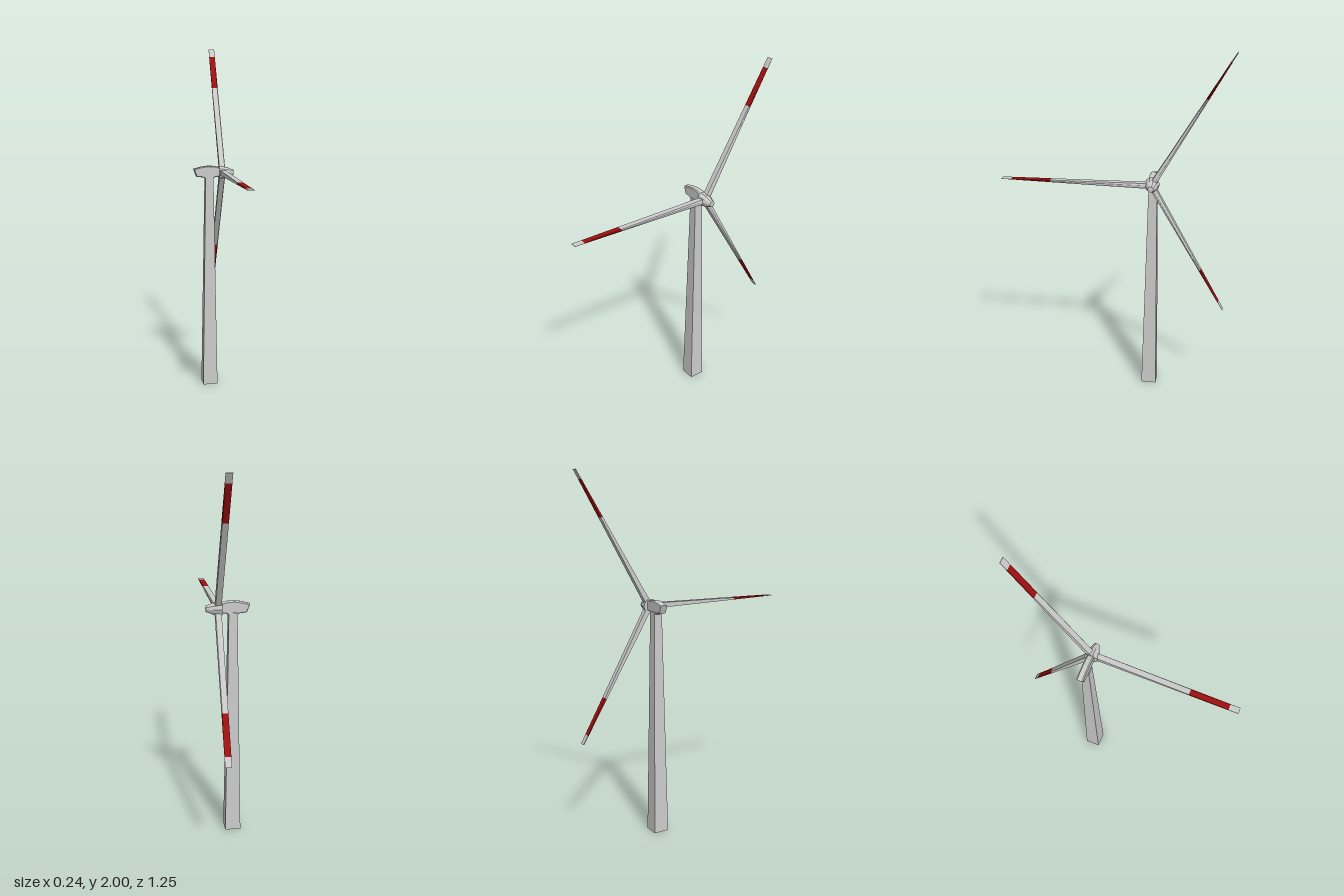
import * as THREE from 'three';

const grey = new THREE.MeshStandardMaterial({ color: 0xcccccc, flatShading: true });
const red = new THREE.MeshStandardMaterial({ color: 0xa01010, flatShading: true });

function part(name, geometry, material = grey) {
  const mesh = new THREE.Mesh(geometry, material);
  mesh.name = name;
  return mesh;
}

// Half thickness of a blade at distance r from the hub axis
const halfThickness = (r) => THREE.MathUtils.lerp(0.015, 0.0015, r / 0.832);

// Blade cross-section: flat sides with a bevelled leading edge facing +x
function section(r) {
  const t = halfThickness(r);
  return [[-0.018, -t], [0.013, -t], [0.017, -0.3 * t], [0.017, 0.3 * t], [0.013, t], [-0.018, t]]
    .map(([x, y]) => [x, y, r]);
}

// Closed length of blade between two distances from the hub axis
function bladeLength(r0, r1) {
  const a = section(r0), b = section(r1), pos = [];
  const tri = (...corners) => corners.forEach((c) => pos.push(...c));
  const n = a.length;
  for (let i = 0; i < n; i++) {
    const j = (i + 1) % n;
    tri(a[i], a[j], b[j]);
    tri(a[i], b[j], b[i]);
    if (i > 0 && i < n - 1) {
      tri(b[0], b[i], b[j]);
      tri(a[0], a[j], a[i]);
    }
  }
  const g = new THREE.BufferGeometry();
  g.setAttribute('position', new THREE.Float32BufferAttribute(pos, 3));
  g.computeVertexNormals();
  return g;
}

export function createModel() {
  const model = new THREE.Group();
  model.name = 'windTurbine';
  const axisY = 1.281, axisZ = -0.207, towerX = -0.027;

  // Square tapering tower
  const towerGeo = new THREE.CylinderGeometry(0.023 * Math.SQRT2, 0.043 * Math.SQRT2, 1.26, 4);
  towerGeo.rotateY(Math.PI / 4);
  const tower = part('tower', towerGeo);
  tower.position.set(towerX, 0.63, axisZ);
  model.add(tower);

  // Nacelle: side profile extruded across z
  const profile = [
    [-0.115, 1.302], [-0.1, 1.262], [-0.06, 1.257], [-0.05, 1.25], [-0.004, 1.25],
    [0.006, 1.258], [0.036, 1.262], [0.036, 1.308], [0.0, 1.316], [-0.035, 1.318], [-0.075, 1.312],
  ].map(([x, y]) => new THREE.Vector2(x, y));
  const nacelleGeo = new THREE.ExtrudeGeometry(new THREE.Shape(profile), {
    depth: 0.026, bevelEnabled: true, bevelThickness: 0.006, bevelSize: 0.004, bevelOffset: -0.001, bevelSegments: 1,
  });
  nacelleGeo.translate(0, 0, axisZ - 0.013);
  model.add(part('nacelle', nacelleGeo));

  // Rotor turning about the x axis
  const rotor = new THREE.Group();
  rotor.name = 'rotor';
  rotor.position.set(0.053, axisY, axisZ);
  model.add(rotor);

  // Hub cone with a blunt nose
  const hubGeo = new THREE.LatheGeometry(
    [[0, -0.022], [0.041, -0.022], [0.031, 0.025], [0.016, 0.063], [0, 0.065]]
      .map(([r, y]) => new THREE.Vector2(r, y)), 10);
  hubGeo.rotateZ(-Math.PI / 2);
  rotor.add(part('hub', hubGeo));

  // Three blades, each with a red band near the tip
  for (let i = 0; i < 3; i++) {
    const blade = new THREE.Group();
    blade.name = 'blade';
    blade.add(
      part('bladeBody', bladeLength(0, 0.557)),
      part('bladeBand', bladeLength(0.557, 0.777), red),
      part('bladeTip', bladeLength(0.777, 0.832)),
    );
    blade.rotation.x = (i * Math.PI * 2) / 3;
    rotor.add(blade);
  }
  return model;
}
